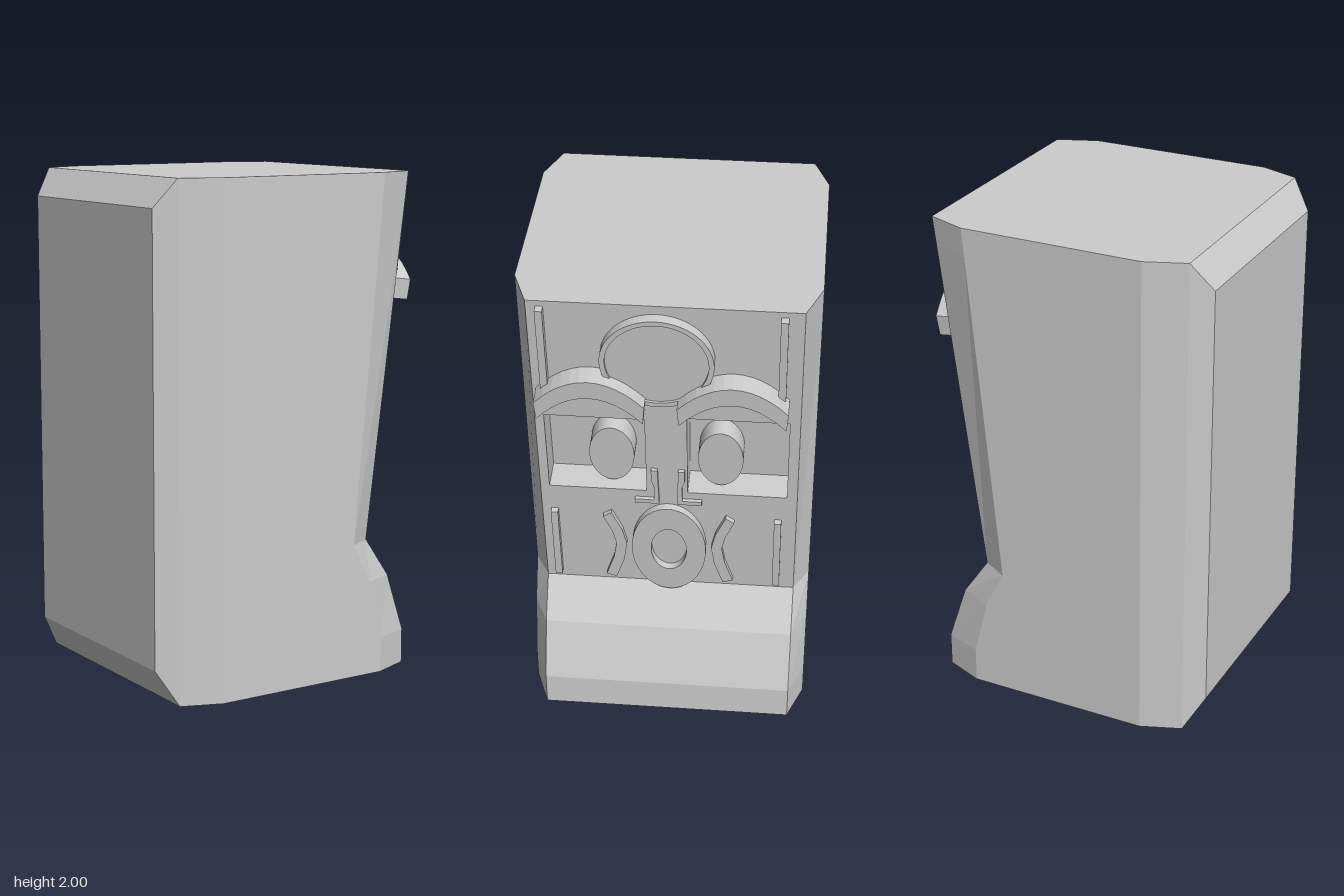
import * as THREE from 'three';

const mat = new THREE.MeshStandardMaterial({ color: 0xcccccc, flatShading: true, side: THREE.DoubleSide });

// Hollow cabinet shell: rings of [height, front x, chamfer x, back x, back z]
function shellGeometry() {
  const rings = [
    [0, 0.545, 0.39, -0.52, 0.5],
    [0.14, 0.545, 0.39, -0.6, 0.45],
    [0.38, 0.465, 0.33, -0.6, 0.45],
    [0.54, 0.355, 0.25, -0.6, 0.45],
    [1.89, 0.526, 0.37, -0.6, 0.45],
    [2, 0.54, 0.38, -0.52, 0.5],
  ];
  const pos = [], idx = [], n = 10;
  for (const [y, front, chamfer, back, backZ] of rings) {
    const half = [[front, 0.5], [chamfer, 0.56], [-0.36, 0.56], [-0.52, 0.5], [back, backZ]];
    half.forEach(([x, z]) => pos.push(x, y, z));
    half.reverse().forEach(([x, z]) => pos.push(x, y, -z));
  }
  for (let i = 0; i < rings.length - 1; i++) {
    for (let j = 0; j < n; j++) {
      if (j === n - 1 && i >= 3) continue; // the face panel closes this side
      const a = i * n + j, b = i * n + (j + 1) % n;
      idx.push(a, a + n, b, b, a + n, b + n);
    }
  }
  const top = (rings.length - 1) * n;
  for (let j = 1; j < n - 1; j++) idx.push(top, top + j + 1, top + j);
  const geo = new THREE.BufferGeometry();
  geo.setAttribute('position', new THREE.Float32BufferAttribute(pos, 3));
  geo.setIndex(idx);
  const flat = geo.toNonIndexed();
  flat.computeVertexNormals();
  return flat;
}

const poly = (pts) => new THREE.Shape(pts.map(([x, y]) => new THREE.Vector2(x, y)));
const rect = (x0, x1, y0, y1) => poly([[x0, y0], [x1, y0], [x1, y1], [x0, y1]]);
const ellipse = (x, y, rx, ry) => new THREE.Shape().absellipse(x, y, rx, ry, 0, Math.PI * 2);

function ringShape(x, y, rx, ry, hx, hy) {
  const s = ellipse(x, y, rx, ry);
  s.holes.push(ellipse(x, y, hx, hy));
  return s;
}

// Arched brow band between two parabolas
function browShape(cx) {
  const top = [], low = [], w = 0.205;
  for (let i = 0; i <= 12; i++) {
    const t = i / 6 - 1, h = 0.115 * (1 - t * t);
    top.push([cx + t * w, 1.58 + h]);
    low.unshift([cx + t * w * 0.97, 1.5 + h]);
  }
  return poly([...top, ...low]);
}

export function createModel() {
  const model = new THREE.Group();
  model.name = 'faceCabinet';

  const add = (parent, name, geo) => {
    const mesh = new THREE.Mesh(geo, mat);
    mesh.name = name;
    parent.add(mesh);
    return mesh;
  };
  add(model, 'cabinetShell', shellGeometry());

  // Tilted face: local x runs to -z, local y up the slope, local z outward
  const face = new THREE.Group();
  face.name = 'face';
  face.position.x = 0.2866;
  face.rotation.set(Math.atan(0.185 / 1.46), Math.PI / 2, 0, 'YXZ');
  face.scale.y = 1.008;
  model.add(face);

  const slab = (name, shape, depth, from = 0) => {
    const geo = new THREE.ExtrudeGeometry(shape, { depth, bevelEnabled: false, curveSegments: 32 });
    geo.translate(0, 0, from);
    return add(face, name, geo);
  };

  // Panel with two eye openings
  const sockets = [[-0.465, -0.085, 1.06, 1.44], [0.075, 0.46, 1.06, 1.457]];
  const panel = rect(-0.5, 0.5, 0.54, 2);
  sockets.forEach((s) => panel.holes.push(rect(...s)));
  add(face, 'facePanel', new THREE.ShapeGeometry(panel));

  // Eye sockets: boxes without their front side, with an oval eye on the back wall
  const depth = 0.12;
  sockets.forEach(([x0, x1, y0, y1], i) => {
    const box = new THREE.BoxGeometry(x1 - x0, y1 - y0, depth);
    box.setIndex([...box.index.array].filter((_, k) => k < 24 || k >= 30));
    box.clearGroups();
    box.translate((x0 + x1) / 2, (y0 + y1) / 2, -depth / 2);
    add(face, 'eyeSocket', box);
    slab('eye', ellipse(i ? 0.2 : -0.22, 1.21, 0.087, 0.138), 0.08, -depth);
  });

  // Forehead medallion and mouth
  slab('foreheadRim', ringShape(-0.03, 1.755, 0.21, 0.207, 0.19, 0.187), 0.04);
  slab('foreheadDisc', ellipse(-0.03, 1.755, 0.195, 0.19), 0.03);
  slab('mouth', ringShape(0, 0.76, 0.147, 0.232, 0.07, 0.115), 0.03);

  // Brows
  slab('leftBrow', browShape(0.25), 0.085).name = 'rightBrow';
  slab('leftBrow', browShape(-0.28), 0.085);

  // Mirrored trim
  for (const s of [-1, 1]) {
    const mirrored = (pts) => poly(pts.map(([x, y]) => [s * x, y]));
    slab('nostril', mirrored([[0.035, 1.005], [0.13, 1.005], [0.13, 1.025], [0.055, 1.025],
      [0.055, 1.1], [0.065, 1.13], [0.065, 1.185], [0.04, 1.185]]), 0.015);
    slab('cheekBracket', mirrored([[0.225, 0.945], [0.185, 0.85], [0.168, 0.77], [0.18, 0.68], [0.215, 0.57],
      [0.255, 0.585], [0.222, 0.69], [0.21, 0.77], [0.225, 0.84], [0.258, 0.92]]), 0.02);
    const x = s < 0 ? -0.45 : 0.428;
    slab('lowerBar', rect(x - 0.014, x + 0.014, 0.575, 0.935), 0.025);
    slab('upperBar', rect(x - 0.014, x + 0.014, 1.6, 1.975), 0.03);
  }
  return model;
}
